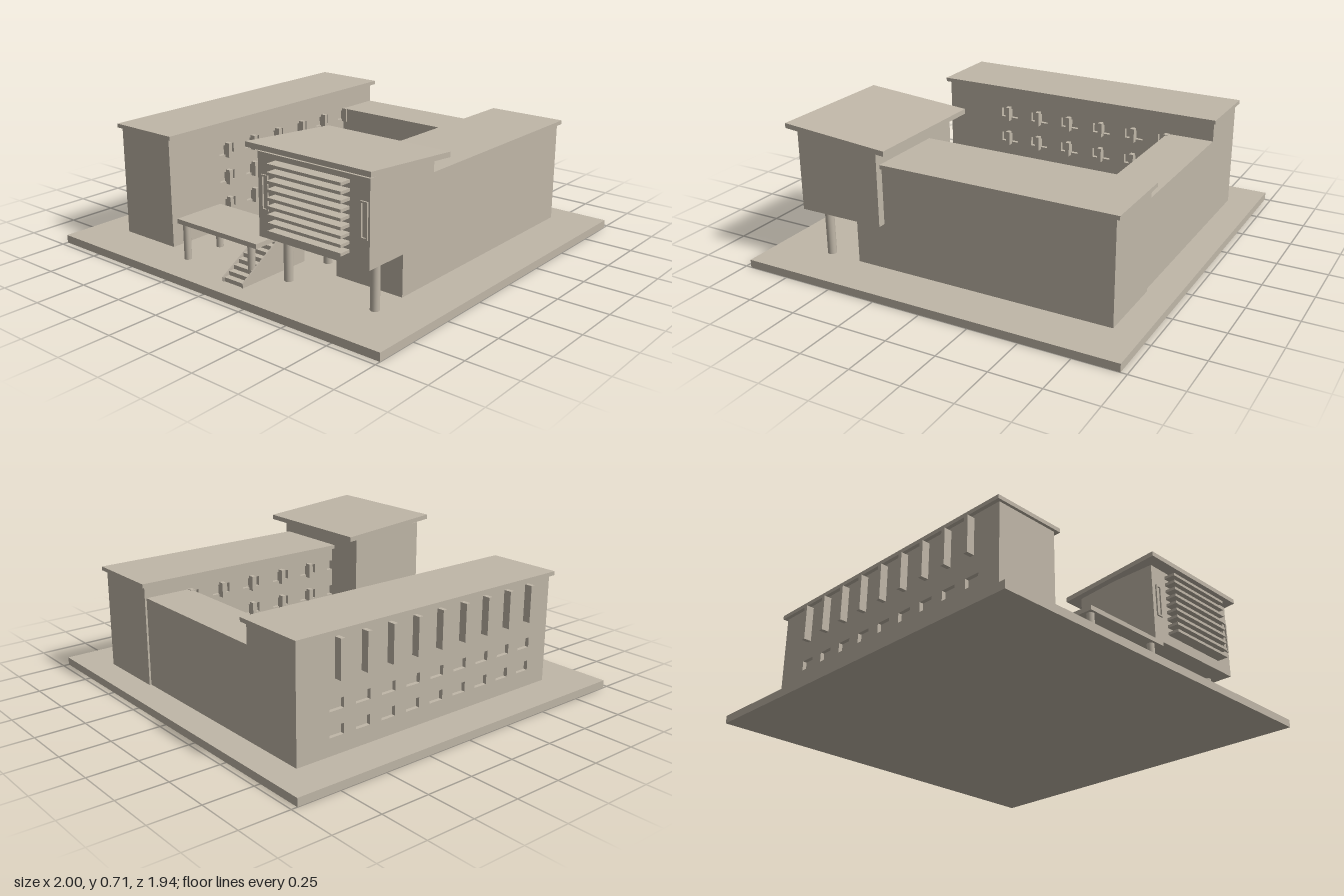
import * as THREE from 'three';

export function createModel() {
  const model = new THREE.Group();
  const stone = new THREE.MeshStandardMaterial({ color: 0xc0b7a8 });
  stone.name = 'warm stone';

  const add = (name, geometry) => {
    const mesh = new THREE.Mesh(geometry, stone);
    mesh.name = name;
    model.add(mesh);
    return mesh;
  };
  // Box given by its extents on each axis
  const box = (name, x0, x1, y0, y1, z0, z1) =>
    add(name, new THREE.BoxGeometry(x1 - x0, y1 - y0, z1 - z0))
      .position.set((x0 + x1) / 2, (y0 + y1) / 2, (z0 + z1) / 2);
  const column = (name, x, z, r, y1) =>
    add(name, new THREE.CylinderGeometry(r, r, y1 - 0.04, 20)).position.set(x, (0.04 + y1) / 2, z);
  // Outline of [z, y] points extruded across x, with optional rectangular holes [z, y, width, height]
  const slab = (name, x0, x1, points, holes = []) => {
    const shape = new THREE.Shape(points.map(([z, y]) => new THREE.Vector2(z, y)));
    for (const [z, y, w, h] of holes) {
      const path = new THREE.Path();
      path.moveTo(z - w / 2, y - h / 2).lineTo(z - w / 2, y + h / 2);
      path.lineTo(z + w / 2, y + h / 2).lineTo(z + w / 2, y - h / 2).closePath();
      shape.holes.push(path);
    }
    const g = new THREE.ExtrudeGeometry(shape, { depth: x1 - x0, bevelEnabled: false });
    g.rotateY(-Math.PI / 2).translate(x1, 0, 0);
    return add(name, g);
  };
  const rect = (z0, z1, y0, y1) => [[z0, y0], [z1, y0], [z1, y1], [z0, y1]];

  box('base', -1, 1, 0, 0.04, -0.97, 0.97);

  // Window positions along the courtyard walls and the outer wall
  const courtZ = [-0.575, -0.39, -0.205, -0.015, 0.17, 0.355];
  const courtRows = [0.168, 0.313, 0.455];
  const outerZ = Array.from({ length: 9 }, (_, i) => -0.605 + i * 0.147);
  const courtHoles = courtRows.flatMap(y => courtZ.map(z => [z, y, 0.1, 0.05]));
  const outerHoles = [0.15, 0.27].flatMap(y => outerZ.map(z => [z, y, 0.08, 0.05]));

  // Left-hand long wing: core, two pierced walls and a flat roof
  box('westWingCore', -0.78, -0.48, 0.04, 0.59, -0.82, 0.735);
  slab('westOuterWall', -0.8, -0.78, rect(-0.82, 0.735, 0.04, 0.59), outerHoles);
  slab('westCourtWall', -0.48, -0.46, rect(-0.82, 0.735, 0.04, 0.59), courtHoles);
  box('westRoof', -0.82, -0.435, 0.59, 0.61, -0.835, 0.75);
  for (const z of outerZ) box('outerFin', -0.84, -0.79, 0.39, 0.575, z - 0.011, z + 0.011);

  // Right-hand wing, running under the raised hall
  box('eastWingCore', 0.405, 0.76, 0.04, 0.55, -0.83, 0.5);
  slab('eastCourtWall', 0.385, 0.405, rect(-0.83, 0.5, 0.04, 0.55), courtHoles);
  box('eastRoof', 0.365, 0.775, 0.55, 0.57, -0.85, 0.5);

  // Vertical fins on both courtyard walls
  for (const y of courtRows) for (const z of courtZ) {
    box('westCourtFin', -0.47, -0.432, y - 0.038, y + 0.038, z - 0.011, z + 0.011);
    box('eastCourtFin', 0.355, 0.395, y - 0.038, y + 0.038, z - 0.011, z + 0.011);
  }

  // Rear connecting block and half-round auditorium
  box('rearBlock', -0.47, 0.395, 0.04, 0.49, -0.82, -0.575);
  const half = new THREE.Shape();
  half.absarc(0, 0, 0.335, 0, Math.PI, false);
  half.closePath();
  const drum = new THREE.ExtrudeGeometry(half, { depth: 0.095, bevelEnabled: false, curveSegments: 40 });
  drum.rotateX(-Math.PI / 2);
  add('auditorium', drum).position.set(0, 0.04, -0.2);

  // Raised hall with sloping roof on columns
  box('hall', 0.18, 0.8, 0.27, 0.665, 0.34, 0.785);
  slab('hallRoof', 0.145, 0.835, [[0.27, 0.642], [0.825, 0.686], [0.825, 0.71], [0.27, 0.667]]);
  for (const x of [0.25, 0.745]) column('hallColumn', x, 0.675, 0.022, 0.27);
  column('hallRearColumn', 0.25, 0.4, 0.022, 0.27);

  // Sun louvres and narrow framed windows on the hall front
  for (let i = 0; i < 9; i++) {
    const y = 0.33 + i * 0.038;
    box('louvre', 0.285, 0.695, y - 0.007, y + 0.007, 0.78, 0.843);
  }
  for (const x of [0.222, 0.772]) {
    for (const s of [-1, 1]) {
      box('windowJamb', x + s * 0.015 - 0.004, x + s * 0.015 + 0.004, 0.4, 0.565, 0.78, 0.793);
    }
    for (const y of [0.4, 0.557]) box('windowRail', x - 0.015, x + 0.015, y, y + 0.008, 0.78, 0.793);
  }

  // Entrance canopy
  box('canopy', -0.325, 0.19, 0.22, 0.243, 0.54, 0.82);
  for (const x of [-0.295, 0.13]) for (const z of [0.58, 0.79]) column('canopyColumn', x, z, 0.018, 0.22);

  // Stair: stepped solid between two sloping stringers
  const steps = 13, run = 0.41 / steps, rise = 0.26 / steps;
  const profile = [[0.46, 0.04], [0.87, 0.04]];
  for (let i = 0; i < steps; i++) {
    const z = 0.87 - i * run, y = 0.04 + (i + 1) * rise;
    profile.push([z, y], [z - run, y]);
  }
  slab('stair', 0.033, 0.147, profile);
  for (const x of [0.025, 0.147]) {
    slab('stringer', x, x + 0.008, [[0.46, 0.04], [0.875, 0.04], [0.875, 0.06], [0.46, 0.305]]);
  }
  return model;
}
